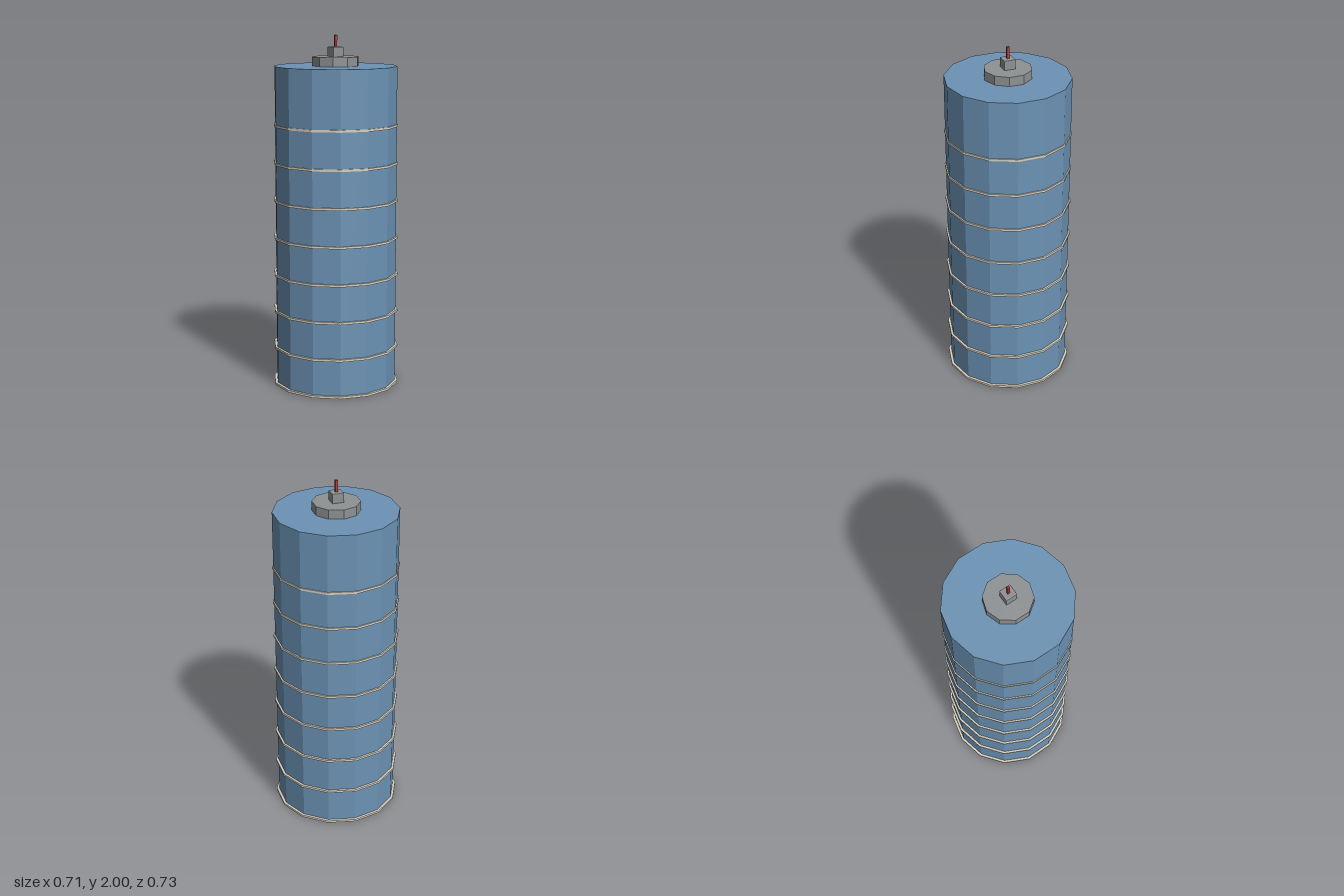
import * as THREE from 'three';
import { RoundedBoxGeometry } from 'three/addons/geometries/RoundedBoxGeometry.js';

const material = (color) => new THREE.MeshStandardMaterial({ color, flatShading: true });

export function createModel() {
  const model = new THREE.Group();
  model.name = 'bandedCanister';

  const blue = material(0x6c93b5);
  const cream = material(0xd8d0c0);
  const grey = material(0x8f9294);
  const red = material(0xb83c38);

  // Adds a part spanning bottom to top on the vertical axis
  const add = (name, geometry, mat, bottom, top) => {
    const mesh = new THREE.Mesh(geometry, mat);
    mesh.name = name;
    mesh.position.y = (bottom + top) / 2;
    model.add(mesh);
  };
  const prism = (name, radius, sides, mat, bottom, top) =>
    add(name, new THREE.CylinderGeometry(radius, radius, top - bottom, sides), mat, bottom, top);

  // Fourteen-sided body, its underside just inside the lowest band
  prism('body', 0.348, 14, blue, 0.004, 1.828);

  // Eight evenly spaced bands, a little wider towards the bottom
  for (let i = 0; i < 8; i++) {
    const y = i * 0.2131;
    prism(`band${i + 1}`, 0.363 - i * 0.0013, 14, cream, y, y + 0.013);
  }

  // Ten-sided cap, square fuse holder and thin fuse
  prism('cap', 0.133, 10, grey, 1.828, 1.88);
  add('fuseHolder', new RoundedBoxGeometry(0.066, 0.056, 0.066, 1, 0.003), grey, 1.878, 1.934);
  add('fuse', new THREE.BoxGeometry(0.014, 0.07, 0.014), red, 1.93, 2);

  return model;
}
